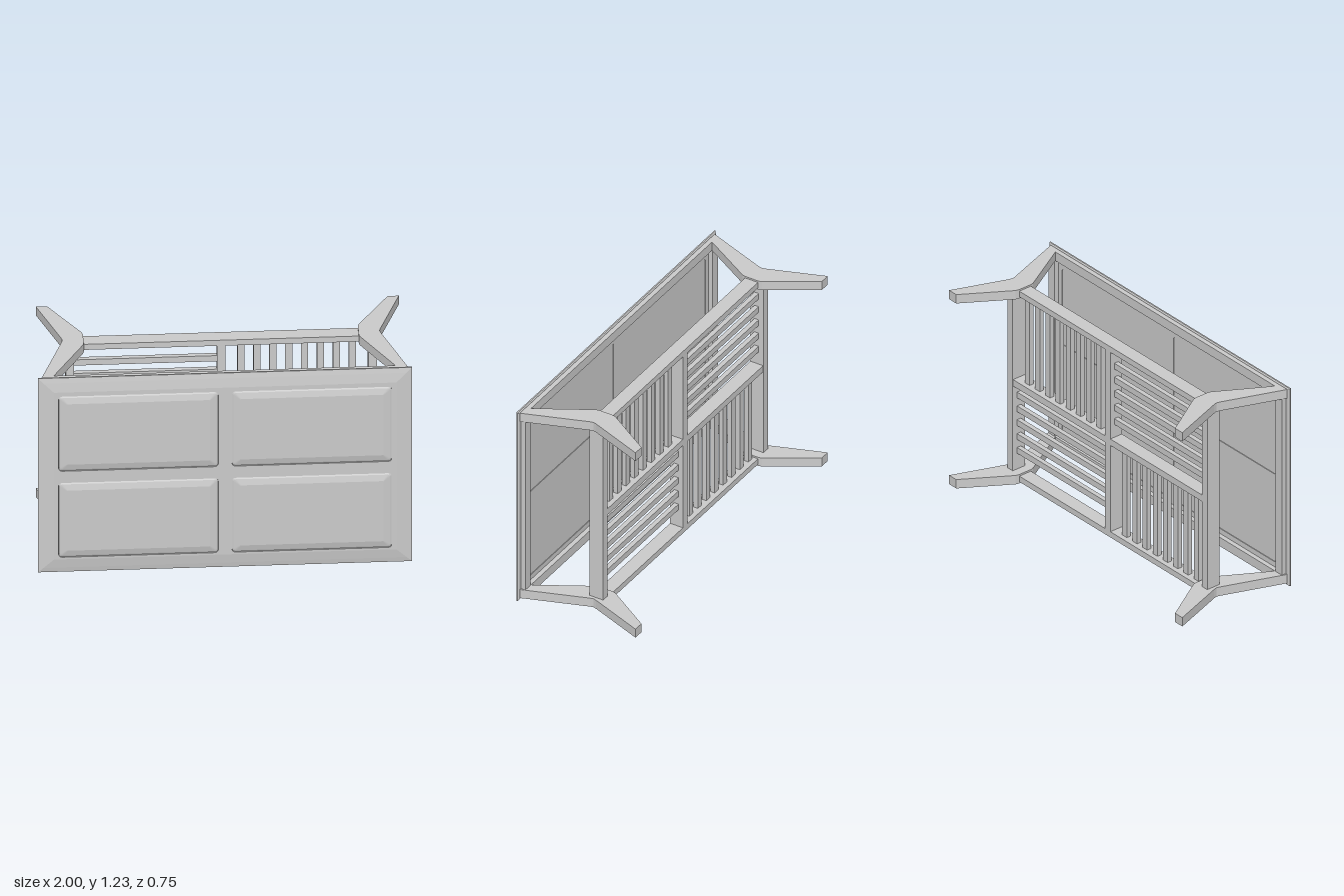
import * as THREE from 'three';

const H = 1.225, MID = H / 2;
const LOW = 0.067, HIGH = 1.16; // inner faces of the lower and upper leg frames
const mat = new THREE.MeshStandardMaterial({ color: 0xcccccc, flatShading: true });

function add(group, name, geometry) {
  const mesh = new THREE.Mesh(geometry, mat);
  mesh.name = name;
  group.add(mesh);
  return mesh;
}

// box given by its limits on each axis
function bar(group, name, x0, x1, y0, y1, z0, z1) {
  const g = new THREE.BoxGeometry(x1 - x0, y1 - y0, z1 - z0);
  add(group, name, g).position.set((x0 + x1) / 2, (y0 + y1) / 2, (z0 + z1) / 2);
}

// counter-clockwise rectangle outline with corners rounded by r
function outline([x0, x1, y0, y1], inset, r) {
  const pts = [];
  const corners = [[x1, y0, -1, 1], [x1, y1, -1, -1], [x0, y1, 1, -1], [x0, y0, 1, 1]];
  corners.forEach(([x, y, sx, sy], i) => {
    const cx = x + sx * (inset + r), cy = y + sy * (inset + r);
    for (let k = 0; k <= 3; k++) {
      const a = (i - 1) * Math.PI / 2 + k * Math.PI / 6;
      pts.push(new THREE.Vector2(cx + r * Math.cos(a), cy + r * Math.sin(a)));
    }
  });
  return pts;
}

// skin over rectangle loops listed from back to front as [inset, z, corner radius]
function loft(rect, rings, capped) {
  const loops = rings.map(([inset, z, r = 0]) =>
    outline(rect, inset, r).map(p => [p.x, p.y, z]));
  const pos = [], n = loops[0].length;
  const tri = (a, b, c) => pos.push(...a, ...b, ...c);
  for (let i = 0; i < loops.length - 1; i++) {
    for (let j = 0; j < n; j++) {
      const k = (j + 1) % n, a = loops[i], b = loops[i + 1];
      tri(a[j], a[k], b[k]);
      tri(a[j], b[k], b[j]);
    }
  }
  if (capped) {
    const back = loops[0], front = loops[loops.length - 1];
    for (let j = 1; j < n - 1; j++) {
      tri(front[0], front[j], front[j + 1]);
      tri(back[0], back[j + 1], back[j]);
    }
  }
  const g = new THREE.BufferGeometry();
  g.setAttribute('position', new THREE.Float32BufferAttribute(pos, 3));
  g.computeVertexNormals();
  return g;
}

// top board: sloping rim, flat frame with four openings, raised panels
function tableTop() {
  const group = new THREE.Group();
  group.name = 'tableTop';
  const board = [-1, 1, 0, H];
  add(group, 'topRim', loft(board, [[0.085, 0.344], [0.006, 0.344], [0, 0.348],
    [0, 0.356], [0.03, 0.361], [0.085, 0.368]], false));

  const frame = new THREE.Shape(outline(board, 0.085, 0));
  const panels = [];
  for (const [x0, x1] of [[-0.89, -0.037], [0.037, 0.89]])
    for (const [y0, y1] of [[0.098, 0.568], [0.642, 1.114]]) panels.push([x0, x1, y0, y1]);
  for (const p of panels) frame.holes.push(new THREE.Path(outline(p, 0, 0.018)));
  const g = new THREE.ExtrudeGeometry(frame, { depth: 0.024, bevelEnabled: false });
  g.translate(0, 0, 0.344);
  add(group, 'topFrame', g);

  for (const p of panels)
    add(group, 'raisedPanel', loft(p, [[0.001, 0.347, 0.017], [0.001, 0.363, 0.017],
      [0.01, 0.367, 0.012], [0.045, 0.375, 0.004]], true));
  return group;
}

// splayed leg pair profile in x and z, extruded along y
function leg(group, side, y0) {
  const profile = [[0.97, -0.375], [0.91, -0.375], [0.74, -0.105], [0.735, -0.085],
    [0.735, 0], [0.74, 0.018], [0.913, 0.317], [0.913, 0.344], [0.983, 0.344],
    [0.853, -0.015], [0.848, -0.035], [0.853, -0.055]];
  const shape = new THREE.Shape(profile.map(([x, z]) => new THREE.Vector2(side * x, z)));
  const g = new THREE.ExtrudeGeometry(shape, { depth: 0.055, bevelEnabled: false });
  g.rotateX(Math.PI / 2).translate(0, y0 + 0.055, 0);
  add(group, side > 0 ? 'leftLeg' : 'rightLeg', g);
}

// lower shelf frame with slats alternating in direction by quarter
function shelf() {
  const group = new THREE.Group();
  group.name = 'slattedShelf';
  bar(group, 'shelfCentreBar', -0.022, 0.022, LOW - 0.01, HIGH + 0.01, -0.083, -0.002);
  for (const s of [-1, 1]) {
    const [a, b] = s > 0 ? [0.022, 0.79] : [-0.79, -0.022];
    bar(group, 'shelfMiddleBar', a, b, MID - 0.02, MID + 0.02, -0.083, -0.002);
    bar(group, 'shelfEndRail', s * 0.809 - 0.022, s * 0.809 + 0.022, LOW, HIGH, -0.085, 0);

    // slats running between the middle bar and a long rail
    const [y0, y1] = s > 0 ? [MID + 0.02, HIGH + 0.01] : [LOW - 0.01, MID - 0.02];
    for (let i = 1; i <= 8; i++) {
      const x = s * (0.022 + i * 0.085);
      bar(group, 'uprightSlat', x - 0.019, x + 0.019, y0, y1, -0.055, -0.028);
    }
    // slats running between the centre bar and an end rail
    const top = s > 0 ? MID : HIGH;
    for (let i = 1; i <= 5; i++) {
      const y = top - i * 0.086;
      bar(group, 'lengthwiseSlat', a, b, y - 0.018, y + 0.018, -0.055, -0.028);
    }
  }
  return group;
}

export function createModel() {
  const model = new THREE.Group();
  model.name = 'table';
  model.add(tableTop(), shelf());

  const base = new THREE.Group();
  base.name = 'base';
  for (const y of [LOW - 0.055, HIGH]) {
    for (const side of [-1, 1]) leg(base, side, y);
    bar(base, 'longRail', -0.737, 0.737, y + 0.01, y + 0.045, -0.083, -0.002);
    bar(base, 'longApron', -0.913, 0.913, y, y + 0.055, 0.317, 0.344);
  }
  for (const side of [-1, 1])
    bar(base, 'endApron', side * 0.945 - 0.026, side * 0.945 + 0.026, LOW, HIGH, 0.317, 0.344);
  model.add(base);
  return model;
}
